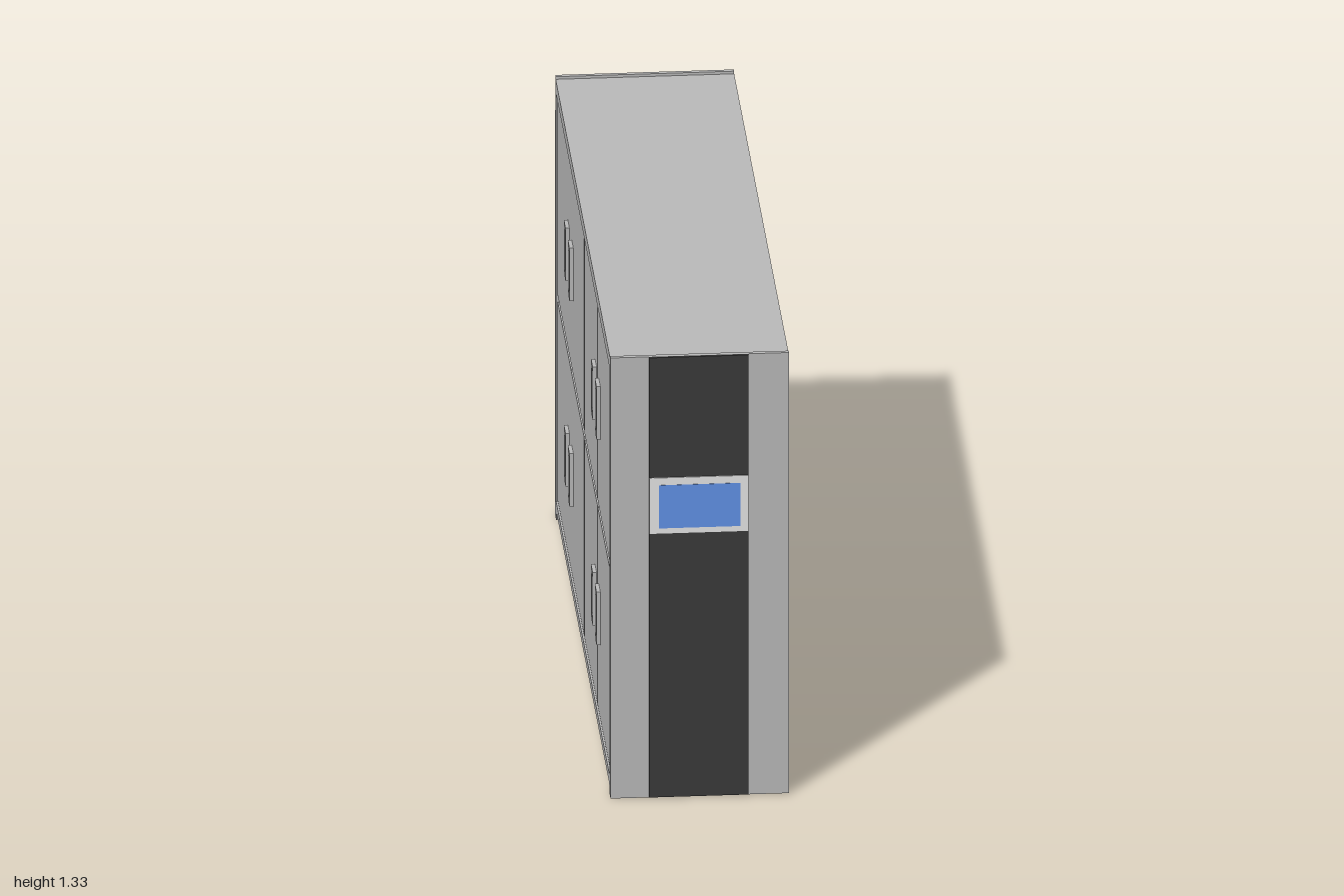
import * as THREE from 'three';

const paint = (name, color) => {
  const m = new THREE.MeshStandardMaterial({ color });
  m.name = name;
  return m;
};

export function createModel() {
  const grey = paint('frame grey', 0xbababa);
  const floorGrey = paint('shelf floor grey', 0x707070);
  const light = paint('light grey', 0xe6e6e6);
  const dark = paint('charcoal', 0x3a3a3a);
  const blue = paint('screen blue', 0x6495ed);

  const model = new THREE.Group();
  model.name = 'mobileShelving';

  // Box given by its limits on each axis
  const box = (name, mat, x0, x1, y0, y1, z0, z1) => {
    const mesh = new THREE.Mesh(new THREE.BoxGeometry(x1 - x0, y1 - y0, z1 - z0), mat);
    mesh.position.set((x0 + x1) / 2, (y0 + y1) / 2, (z0 + z1) / 2);
    mesh.name = name;
    model.add(mesh);
  };
  // Outline in (z, y), extruded across x from x1 down to x0
  const extrudeX = (name, mat, shape, x0, x1) => {
    const geo = new THREE.ExtrudeGeometry(shape, { depth: x1 - x0, bevelEnabled: false });
    geo.rotateY(-Math.PI / 2).translate(x1, 0, 0);
    const mesh = new THREE.Mesh(geo, mat);
    mesh.name = name;
    model.add(mesh);
  };
  const outline = (pts) => new THREE.Shape(pts.map(([a, b]) => new THREE.Vector2(a, b)));

  const L = -0.245, R = 0.251;     // body limits in x
  const low = 0.055, high = 1.285; // opening limits in y
  const end = 0.957;               // opening half length

  // End panels with chamfered feet; the rear one leans slightly
  extrudeX('frontEndPanel', grey, outline([[0.957, 0], [0.988, 0], [0.988, 1.33], [0.975, 1.33],
    [0.975, 1.322], [0.957, 1.322], [0.957, 0.055], [0.94, 0.055], [0.94, 0.026]]), L, R);
  extrudeX('rearEndPanel', grey, outline([[-0.957, 0], [-0.94, 0.026], [-0.94, 0.055], [-0.957, 0.055],
    [-0.957, 1.322], [-0.975, 1.322], [-0.975, 1.33], [-0.987, 1.33], [-1, 0]]), L, R);

  // Top and base
  box('topBoard', grey, L, R, high, 1.322, -end, end);
  box('baseBoard', grey, L, R, 0.03, low, -end, end);
  box('baseUnderside', light, L, R, 0.027, 0.03, -0.94, 0.94);
  box('baseFloor', floorGrey, -0.215, 0.246, low, low + 0.002, -end, end);

  // Interior back wall with a dark strip in each row
  box('backWall', light, -0.222, -0.215, low, high, -end, end);
  [1.186, 0.983, 0.777, 0.573, 0.37, 0.161].forEach((y, i) => {
    const h = i === 5 ? 0.019 : 0.014;
    box('backStrip', dark, -0.216, -0.211, y - h, y + h, -end, end);
  });

  // Shelves, pale with a darker upper face, and dividers
  for (const y of [1.081, 0.879, 0.675, 0.47, 0.267]) {
    box('shelf', light, -0.215, 0.244, y - 0.006, y + 0.004, -end, end);
    box('shelfFloor', floorGrey, -0.215, 0.243, y + 0.004, y + 0.006, -end, end);
  }
  box('topLining', light, -0.215, 0.246, high - 0.002, high, -end, end);
  for (const z of [-0.479, 0, 0.479]) {
    box('divider', grey, -0.215, 0.247, low, high, z - 0.005, z + 0.005);
  }

  // Cupboard side: doors in front of a dark backing that shows in the gaps
  box('doorBacking', dark, -0.233, -0.222, low, high, -end, end);
  for (const [y0, y1] of [[0.06, 0.66], [0.68, 1.28]]) {
    for (const s of [-1, 1]) {
      for (const [a, b] of [[0.012, 0.476], [0.483, 0.952]]) {
        box('door', grey, -0.241, -0.233, y0, y1, Math.min(s * a, s * b), Math.max(s * a, s * b));
      }
    }
  }

  // Handles: a rim around a darker recessed grip
  for (const y of [0.285, 0.905]) {
    for (const z of [-0.56, -0.42, 0.41, 0.545]) {
      const rect = (w, y0, y1) => [[z - w, y0], [z + w, y0], [z + w, y1], [z - w, y1]];
      const rim = outline(rect(0.029, y, y + 0.16));
      rim.holes.push(outline(rect(0.016, y + 0.018, y + 0.142)));
      extrudeX('handleRim', grey, rim, -0.252, -0.24);
      box('handleGrip', floorGrey, -0.245, -0.24, y + 0.018, y + 0.142, z - 0.016, z + 0.016);
    }
  }

  // Control strip and display on the front end
  box('controlStrip', dark, -0.138, 0.138, 0.003, 1.33, 0.987, 0.996);
  box('displayBezel', light, -0.138, 0.138, 0.8, 0.968, 0.99, 0.999);
  box('displayScreen', blue, -0.111, 0.115, 0.816, 0.946, 0.995, 1);

  return model;
}
